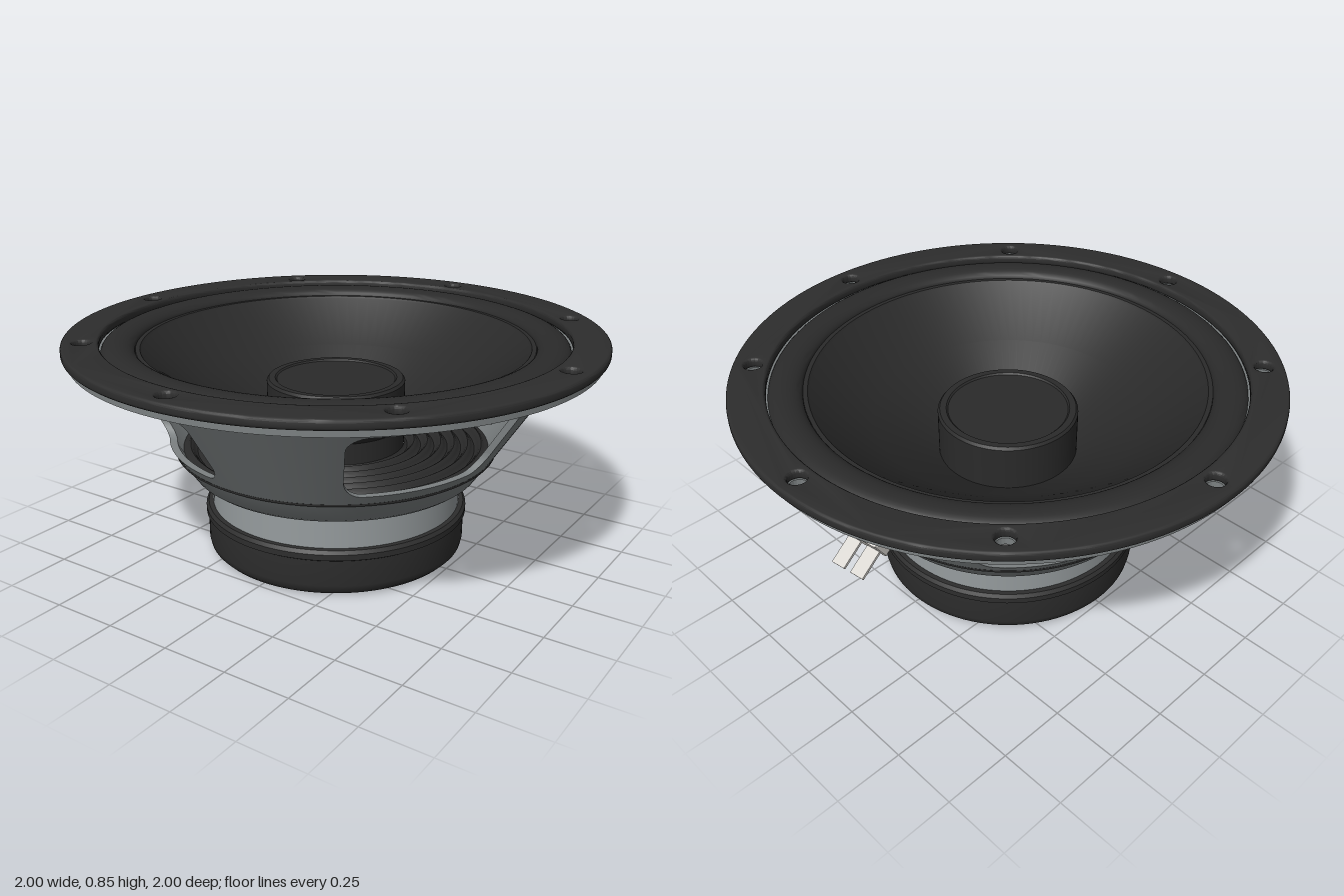
import * as THREE from 'three';
import { toCreasedNormals } from 'three/addons/utils/BufferGeometryUtils.js';

const RAD = Math.PI / 180;
const paint = (name, color, side = THREE.FrontSide) => {
  const m = new THREE.MeshStandardMaterial({ color, side });
  m.name = name;
  return m;
};

export function createModel() {
  const black = paint('satin black', 0x2d2d2d);
  const rubber = paint('cone black', 0x2a2a2a, THREE.DoubleSide);
  const grey = paint('basket grey', 0x7c8182);
  const steel = paint('steel', 0x969c9e);
  const plastic = paint('terminal plastic', 0xd8d5d0);

  const model = new THREE.Group();
  const add = (name, geometry, material, parent = model) => {
    const mesh = new THREE.Mesh(geometry, material);
    mesh.name = name;
    parent.add(mesh);
    return mesh;
  };
  const lathe = (pts, crease = 0.6) => toCreasedNormals(
    new THREE.LatheGeometry(pts.map(([r, y]) => new THREE.Vector2(r, y)), 96), crease);

  // Flat ring or plate lying at height y, with holes cut through it
  const plate = (radius, holes, y, depth, bevel = 0) => {
    const shape = new THREE.Shape().absarc(0, 0, radius, 0, Math.PI * 2);
    shape.holes.push(...holes);
    const g = new THREE.ExtrudeGeometry(shape, {
      depth: depth - 2 * bevel, curveSegments: 64, bevelEnabled: bevel > 0,
      bevelThickness: bevel, bevelSize: bevel, bevelOffset: -bevel, bevelSegments: 3,
    });
    g.rotateX(-Math.PI / 2).translate(0, y + bevel, 0);
    return toCreasedNormals(g, 0.6);
  };
  const hole = (x, y, rx, ry = rx, turn = 0) =>
    new THREE.Path().absellipse(x, y, rx, ry, 0, Math.PI * 2, true, turn);
  const boltHoles = () => Array.from({ length: 8 }, (_, i) =>
    hole(0.925 * Math.cos(i * 45 * RAD), 0.925 * Math.sin(i * 45 * RAD), 0.033));
  const slots = Array.from({ length: 8 }, (_, i) => {
    const a = (i + 0.5) * 45 * RAD;
    return hole(0.925 * Math.cos(a), 0.925 * Math.sin(a), 0.017, 0.045, a);
  });

  // Front trim ring and the basket flange under it
  add('trimRing', plate(1, [hole(0, 0, 0.865), ...boltHoles()], 0.815, 0.036, 0.01), black);
  add('basketFlange', plate(0.98, [hole(0, 0, 0.82), ...boltHoles(), ...slots], 0.79, 0.025), grey);

  // Half-roll surround
  const roll = [[0.885, 0.818]];
  for (let i = 0; i <= 14; i++) {
    const a = (i / 14) * Math.PI;
    roll.push([0.8 + 0.062 * Math.cos(a), 0.808 + 0.034 * Math.sin(a)]);
  }
  roll.push([0.722, 0.808]);
  add('surround', lathe(roll), rubber);

  // Cone, centre cap and voice coil tube, corrugated spider
  add('cone', lathe([[0.738, 0.812], [0.722, 0.812], [0.715, 0.803], [0.5, 0.655], [0.255, 0.487]]), rubber);
  add('centreCap', lathe([[0.262, 0.34], [0.262, 0.66], [0.254, 0.67], [0.23, 0.67],
    [0.224, 0.664], [0.12, 0.668], [0, 0.67]]), rubber);
  const waves = [[0.613, 0.405], [0.613, 0.413]];
  for (let i = 0; i <= 48; i++) {
    waves.push([0.57 - i * 0.0064, 0.412 + 0.012 * Math.sin((i / 48) * Math.PI * 12)]);
  }
  add('spider', lathe(waves, 1), rubber);

  // Basket wall: swept strips of the cone between two heights
  const wallRadius = (y) => 0.61 + (y - 0.41) * 0.645;
  const BOTTOM = 0.41, TOP = 0.795, THICK = 0.028;
  const strip = (angles, low, high) => {
    const pos = [], index = [];
    angles.forEach((a, i) => {
      const lo = low(a), hi = high(a);
      [[wallRadius(lo), lo], [wallRadius(hi), hi], [wallRadius(hi) - THICK, hi], [wallRadius(lo) - THICK, lo]]
        .forEach(([r, y]) => pos.push(r * Math.sin(a * RAD), y, r * Math.cos(a * RAD)));
      if (i === 0) return;
      for (let k = 0; k < 4; k++) {
        const p = (i - 1) * 4 + k, q = (i - 1) * 4 + (k + 1) % 4;
        index.push(p, p + 4, q + 4, p, q + 4, q);
      }
    });
    const e = (angles.length - 1) * 4;
    index.push(0, 1, 2, 0, 2, 3, e, e + 2, e + 1, e, e + 3, e + 2);
    const g = new THREE.BufferGeometry();
    g.setAttribute('position', new THREE.Float32BufferAttribute(pos, 3));
    g.setIndex(index);
    return toCreasedNormals(g, 0.6);
  };

  // Four rounded windows, with a broad leg after each
  const HALF = 25, CORNER = 6;
  for (let n = 0; n < 4; n++) {
    const mid = -29 + n * 90;
    const span = [];
    for (let i = 0; i <= 8; i++) span.push(-HALF + CORNER * (1 - Math.cos(i / 8 * Math.PI / 2)));
    for (let i = 1; i < 16; i++) span.push((HALF - CORNER) * (i / 8 - 1));
    for (let i = 8; i >= 0; i--) span.push(HALF - CORNER * (1 - Math.cos(i / 8 * Math.PI / 2)));
    const angles = span.map((s) => mid + s);
    const inset = (a) => {
      const t = Math.max(0, (Math.abs(a - mid) - HALF + CORNER) / CORNER);
      return 1 - Math.sqrt(Math.max(0, 1 - t * t));
    };
    add('windowSill', strip(angles, () => BOTTOM, (a) => 0.447 + 0.07 * inset(a)), grey);
    add('windowHead', strip(angles, (a) => 0.722 - 0.06 * inset(a), () => TOP), grey);
    const leg = Array.from({ length: 21 }, (_, i) => mid + HALF + i * 2);
    add('basketLeg', strip(leg, () => BOTTOM, () => TOP), grey);
  }

  // Basket foot
  add('basketFoot', lathe([[0.3, 0.315], [0.535, 0.315], [0.552, 0.328], [0.608, 0.408],
    [0.58, 0.41], [0.53, 0.345], [0.3, 0.345]]), grey);

  // Motor: steel top plate, black magnet boot, vented back plate
  add('topPlate', new THREE.CylinderGeometry(0.48, 0.48, 0.15, 96).translate(0, 0.24, 0), steel);
  add('magnetBoot', lathe([[0.358, 0.03], [0.36, 0.002], [0.37, 0], [0.455, 0], [0.48, 0.007], [0.495, 0.022],
    [0.5, 0.045], [0.5, 0.145], [0.508, 0.15], [0.508, 0.172], [0.498, 0.185], [0.46, 0.185]]), black);
  add('backPlate', plate(0.362, [hole(0, 0, 0.05), hole(0.18, 0, 0.02), hole(-0.18, 0, 0.02)], 0.004, 0.03), grey);
  add('ventLining', new THREE.CylinderGeometry(0.35, 0.35, 0.02, 64).translate(0, 0.045, 0), steel);

  // Terminal block with two tabs on the back of the basket
  const terminal = new THREE.Group();
  terminal.name = 'terminal';
  const at = 188 * RAD;
  terminal.position.set(0.75 * Math.sin(at), 0.578, 0.75 * Math.cos(at));
  terminal.rotation.set(0.57, at, 0, 'YXZ');
  model.add(terminal);
  const profile = new THREE.Shape([[-0.035, -0.035], [0.035, -0.035], [0.035, 0.035], [-0.035, 0.035]]
    .map(([x, y]) => new THREE.Vector2(x, y)));
  const block = new THREE.ExtrudeGeometry(profile, {
    depth: 0.14, bevelSize: 0.01, bevelThickness: 0.01, bevelSegments: 2,
  }).translate(0, 0, -0.07).rotateY(Math.PI / 2);
  add('terminalBlock', block, plastic, terminal);
  for (const s of [-1, 1]) {
    add('terminalTab', new THREE.BoxGeometry(0.055, 0.01, 0.12).translate(s * 0.042, -0.01, 0.09), plastic, terminal);
  }
  return model;
}
